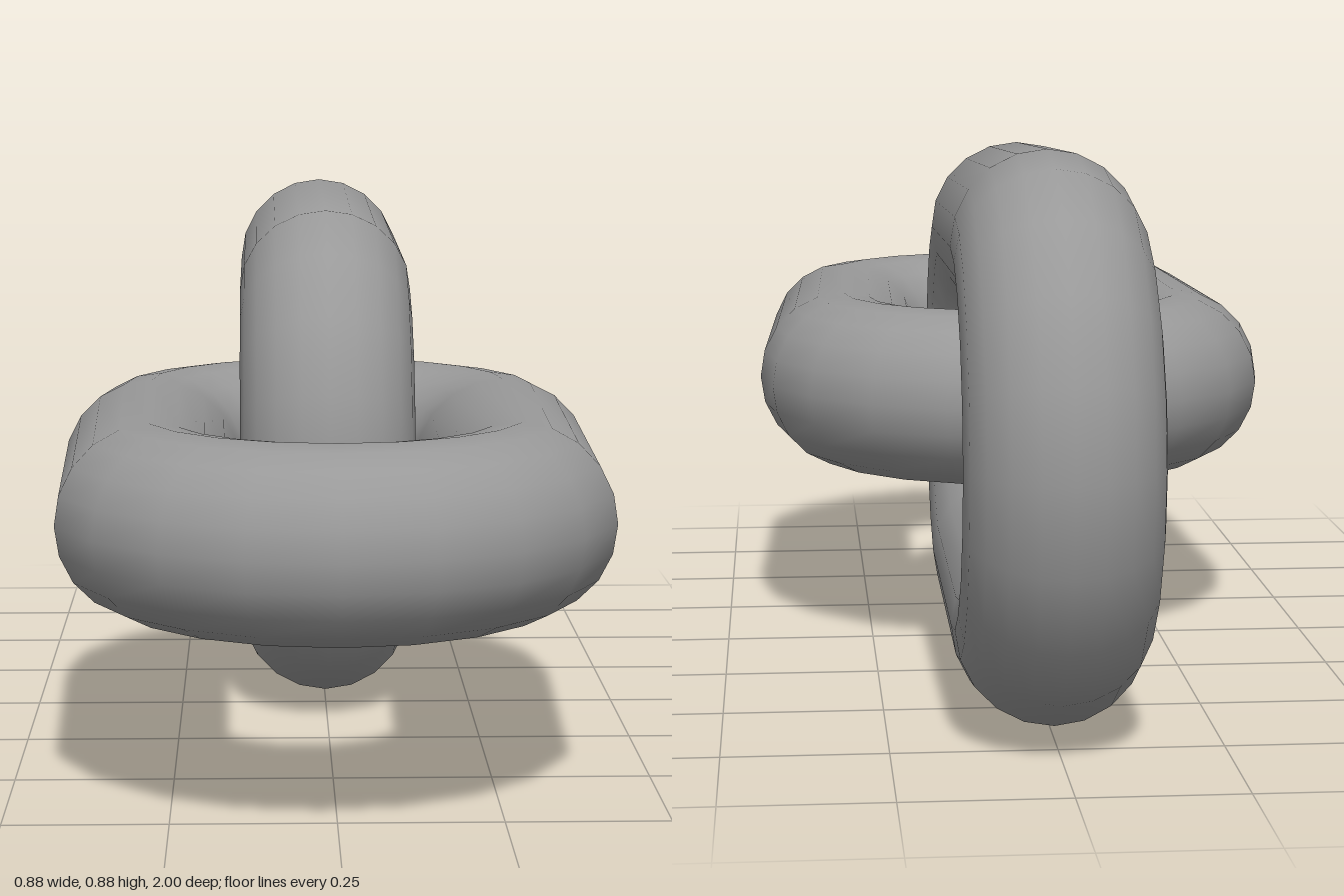
import * as THREE from 'three';

const RING = 0.293, TUBE = 0.147, STRETCH = 0.42;

// Ring with one half pulled away to form an elongated link along z
function linkGeometry() {
  const geo = new THREE.TorusGeometry(RING, TUBE, 20, 20);
  const pos = geo.attributes.position;
  for (let i = 0; i < pos.count; i++) {
    const x = pos.getX(i);
    pos.setX(i, x + (x > 0.001 ? STRETCH / 2 : -STRETCH / 2));
  }
  return geo.rotateY(-Math.PI / 2);
}

export function createModel() {
  const group = new THREE.Group();
  group.name = 'chainLinks';
  const steel = new THREE.MeshStandardMaterial({ color: 0x999999 });
  steel.name = 'steelGrey';
  const geo = linkGeometry();

  // Upright link at the back, flat link at the front
  for (const [name, z, roll] of [['uprightLink', -0.35, 0], ['flatLink', 0.35, Math.PI / 2]]) {
    const link = new THREE.Mesh(geo, steel);
    link.name = name;
    link.position.set(0, RING + TUBE, z);
    link.rotation.z = roll;
    group.add(link);
  }
  return group;
}
